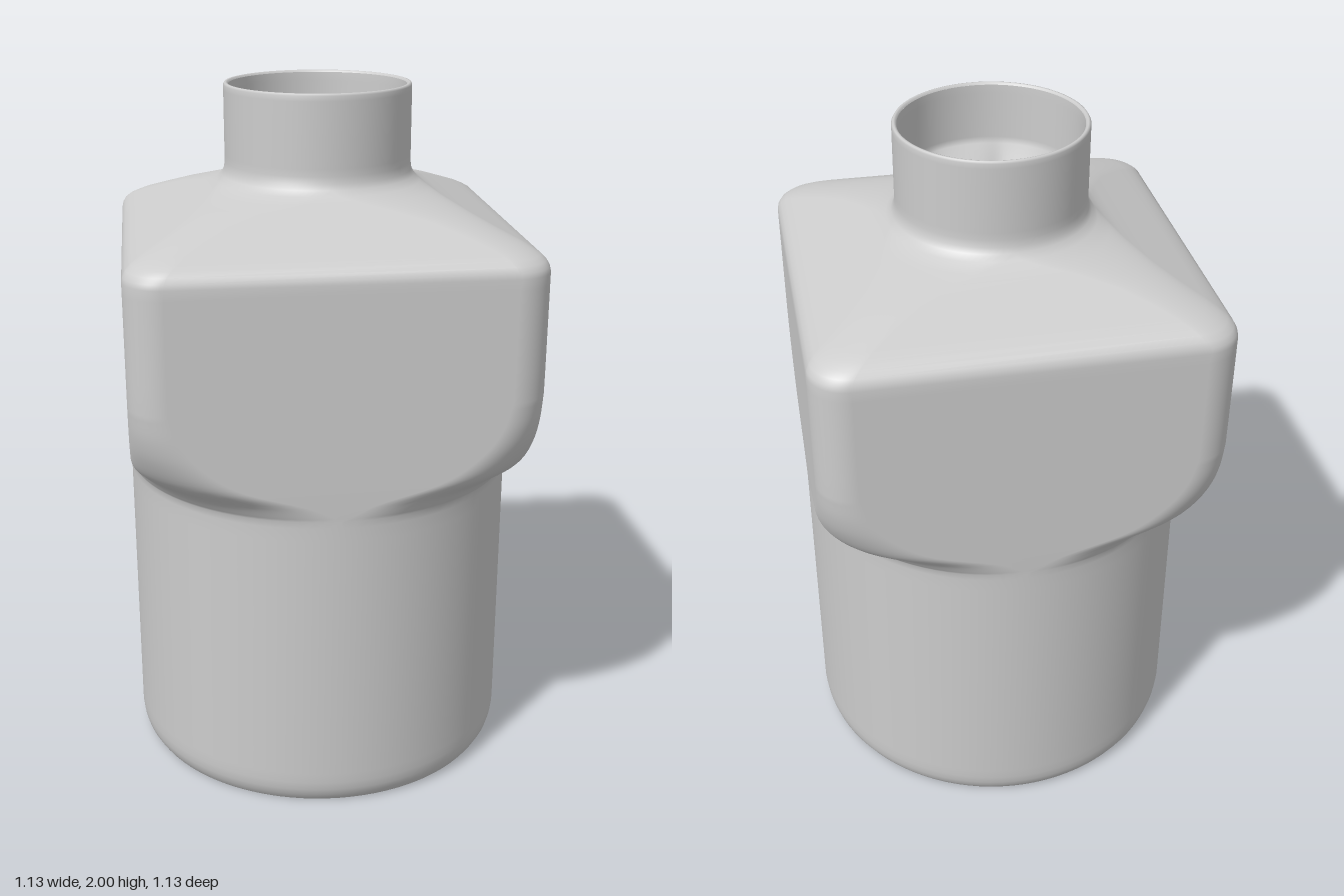
import * as THREE from 'three';
import { mergeVertices } from 'three/addons/utils/BufferGeometryUtils.js';

// Skin a list of closed rings (equal point counts) with smooth normals
function loft(rings) {
  const n = rings[0].length;
  const index = [];
  for (let i = 0; i < rings.length - 1; i++) {
    for (let j = 0; j < n; j++) {
      const k = (j + 1) % n;
      const a = i * n + j, b = i * n + k, c = b + n, d = a + n;
      index.push(a, d, b, b, d, c);
    }
  }
  let geometry = new THREE.BufferGeometry().setFromPoints(rings.flat());
  geometry.setIndex(index);
  geometry = mergeVertices(geometry, 1e-5);
  geometry.computeVertexNormals();
  return geometry;
}

// Rounded square of half width h and corner radius r; r = h gives a circle
function section([y, h, r]) {
  const points = [], steps = 24, c = h - r;
  for (let q = 0; q < 4; q++) {
    const mid = (q + 0.5) * Math.PI / 2;
    const cx = Math.sign(Math.cos(mid)) * c, cz = Math.sign(Math.sin(mid)) * c;
    for (let i = 0; i <= steps; i++) {
      const a = (q + i / steps) * Math.PI / 2;
      points.push(new THREE.Vector3(cx + r * Math.cos(a), y, cz + r * Math.sin(a)));
    }
  }
  return points;
}

export function createModel() {
  const group = new THREE.Group();
  const grey = new THREE.MeshStandardMaterial({ color: 0xcccccc });
  grey.name = 'bottle grey';
  const add = (name, geometry) => {
    const mesh = new THREE.Mesh(geometry, grey);
    mesh.name = name;
    group.add(mesh);
    return mesh;
  };

  // Round lower body: height, half width, corner radius
  const H = 0.565;
  const rows = [
    [0, 0.54, 0.54], [0.008, 0.546, 0.546], [0.025, 0.556, 0.556],
    [0.045, 0.562, 0.562], [0.07, H, H], [0.1, H, H], [0.5, H, H], [0.84, H, H], [0.88, H, H],
  ];

  // Corners swell from the circle out to the square upper body
  const swell = new THREE.CatmullRomCurve3([
    [0.9, 0.567], [0.94, 0.6], [1.0, 0.68], [1.07, 0.722], [1.14, 0.744], [1.22, 0.755],
  ].map(([y, d]) => new THREE.Vector3(d, y, 0)));
  for (let i = 0; i <= 24; i++) {
    const p = swell.getPoint(i / 24);
    rows.push([p.y, H, Math.min(H, (H * Math.SQRT2 - p.x) / (Math.SQRT2 - 1))]);
  }

  // Square upper body, sloping shoulder and round neck
  rows.push(
    [1.3, H, 0.105], [1.53, H, 0.105], [1.56, H, 0.105], [1.575, 0.562, 0.104],
    [1.59, 0.554, 0.103], [1.603, 0.54, 0.102], [1.615, 0.52, 0.1], [1.628, 0.495, 0.1],
    [1.652, 0.44, 0.105], [1.677, 0.385, 0.125], [1.7, 0.335, 0.175], [1.715, 0.308, 0.225],
    [1.73, 0.287, 0.262], [1.745, 0.275, 0.27], [1.76, 0.268, 0.268], [1.78, 0.265, 0.265],
    [1.8, 0.265, 0.265], [1.98, 0.265, 0.265], [1.994, 0.265, 0.265],
    [1.999, 0.262, 0.262], [2, 0.258, 0.258], [1.999, 0.254, 0.254], [1.994, 0.251, 0.251],
  );
  add('bottleBody', loft(rows.map(section)));

  // Flat underside
  const base = new THREE.CircleGeometry(0.54, 96);
  base.rotateX(Math.PI / 2);
  add('base', base);

  // Irregular rim inside the neck: angle in degrees, radius
  const rimCurve = new THREE.CatmullRomCurve3([
    [0, 0.2], [22, 0.215], [55, 0.2], [80, 0.135], [107, 0.2], [128, 0.205], [152, 0.22],
    [184, 0.18], [211, 0.227], [240, 0.24], [260, 0.237], [293, 0.2], [319, 0.204], [337, 0.185],
  ].map(([deg, r]) => {
    const a = deg * Math.PI / 180;
    return new THREE.Vector3(r * Math.cos(a), 1.72 + (r - 0.2) * 0.4, r * Math.sin(a));
  }), true);
  const rim = rimCurve.getPoints(112).slice(0, -1);
  const circle = (r, y) => rim.map((p) => {
    const s = r / Math.hypot(p.x, p.z);
    return new THREE.Vector3(p.x * s, y, p.z * s);
  });

  // Inner neck wall and the ledge narrowing to the rim
  add('neckLining', loft([circle(0.251, 1.994), circle(0.25, 1.97), circle(0.25, 1.84),
    circle(0.249, 1.82), rim]));

  // Folded floor closing the opening
  const scaled = (s, y) => rim.map((p) => new THREE.Vector3(p.x * s, p.y + y, p.z * s));
  add('innerFloor', loft([scaled(1, -0.02), scaled(0.5, -0.03), circle(0.001, 1.68)]));

  return group;
}
